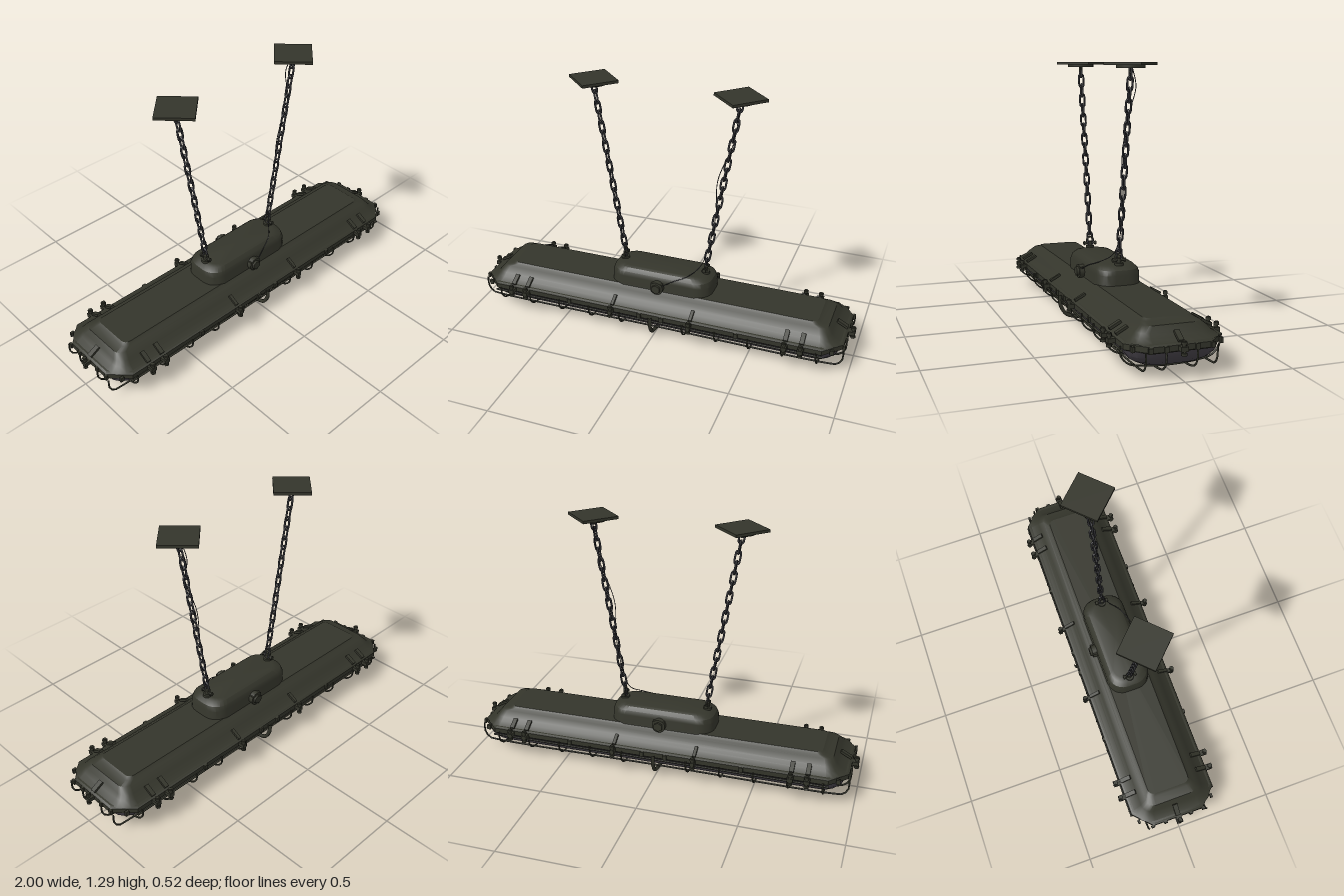
import * as THREE from 'three';
import { toCreasedNormals } from 'three/addons/utils/BufferGeometryUtils.js';

const material = (name, color) => Object.assign(new THREE.MeshStandardMaterial({ color }), { name });
const V = (x, y, z) => new THREE.Vector3(x, y, z);

// Closed solid through rounded rectangles [halfX, halfZ, cornerRadius, y], bottom to top
function loft(rings, seg) {
  const pos = [], idx = [], n = 4 * (seg + 1);
  for (const [hx, hz, r, y] of rings) {
    for (let q = 0; q < 4; q++) {
      const sx = q === 0 || q === 3 ? 1 : -1, sz = q < 2 ? 1 : -1;
      for (let s = 0; s <= seg; s++) {
        const a = (q + s / seg) * Math.PI / 2;
        pos.push(sx * (hx - r) + r * Math.cos(a), y, sz * (hz - r) + r * Math.sin(a));
      }
    }
  }
  for (let k = 0; k < rings.length - 1; k++) for (let i = 0; i < n; i++) {
    const a = k * n + i, b = k * n + (i + 1) % n;
    idx.push(a, a + n, b + n, a, b + n, b);
  }
  const bottom = pos.length / 3, top = bottom + 1, last = (rings.length - 1) * n;
  pos.push(0, rings[0][3], 0, 0, rings[rings.length - 1][3], 0);
  for (let i = 0; i < n; i++) {
    const j = (i + 1) % n;
    idx.push(bottom, i, j, top, last + j, last + i);
  }
  const g = new THREE.BufferGeometry();
  g.setAttribute('position', new THREE.Float32BufferAttribute(pos, 3));
  g.setIndex(idx);
  return toCreasedNormals(g, 0.5);
}

export function createModel() {
  const root = new THREE.Group();
  root.name = 'hangingLamp';
  const paint = material('darkOlivePaint', 0x34352b);
  const steel = material('darkSteel', 0x36363a);
  const glass = material('smokedGlass', 0x464249);

  const add = (name, geo, mat, x = 0, y = 0, z = 0, parent = root) => {
    const m = new THREE.Mesh(geo, mat);
    m.name = name;
    m.position.set(x, y, z);
    parent.add(m);
    return m;
  };
  const box = (name, w, h, d, x, y, z, parent, mat = paint) =>
    add(name, new THREE.BoxGeometry(w, h, d), mat, x, y, z, parent);
  const cyl = (name, r, h, x, y, z, parent, mat = paint, sides = 12) =>
    add(name, new THREE.CylinderGeometry(r, r, h, sides), mat, x, y, z, parent);
  const wire = (name, pts, r, mat = paint, seg = 40, closed = false, parent = root) =>
    add(name, new THREE.TubeGeometry(
      new THREE.CatmullRomCurve3(pts, closed, 'centripetal'), seg, r, 6, closed), mat, 0, 0, 0, parent);

  // Housing: chamfered rim and sloping hood
  add('rim', loft([[0.96, 0.22, 0.09, 0.12], [0.965, 0.225, 0.09, 0.125],
    [0.965, 0.225, 0.09, 0.15], [0.955, 0.215, 0.09, 0.157]], 1), paint);
  add('hood', loft([[0.95, 0.21, 0.09, 0.155], [0.915, 0.18, 0.06, 0.172],
    [0.9, 0.165, 0.05, 0.19], [0.88, 0.135, 0.04, 0.214],
    [0.84, 0.12, 0.03, 0.222], [0.825, 0.11, 0.03, 0.232]], 4), paint);

  // Glass bowl below the rim
  add('glassBowl', loft([[0.84, 0.09, 0.07, 0.038], [0.89, 0.145, 0.08, 0.047],
    [0.92, 0.18, 0.09, 0.068], [0.938, 0.2, 0.09, 0.095], [0.945, 0.207, 0.09, 0.122]], 4), glass);

  // Gear box on top, with a cable gland on either side
  add('gearBox', loft([[0.275, 0.118, 0.08, 0.215], [0.27, 0.112, 0.08, 0.235],
    [0.27, 0.112, 0.08, 0.28], [0.262, 0.105, 0.08, 0.303],
    [0.24, 0.088, 0.07, 0.32], [0.22, 0.07, 0.06, 0.325]], 6), paint);
  for (const s of [1, -1]) {
    cyl('cableGland', 0.034, 0.028, 0, 0.255, s * 0.122, root, paint, 16).rotation.x = Math.PI / 2;
    cyl('glandNut', 0.024, 0.02, 0, 0.255, s * 0.138, root, paint, 6).rotation.x = Math.PI / 2;
    box('glandFlange', 0.06, 0.02, 0.02, 0, 0.27, s * 0.126);
  }

  // Wire cage: cross ribs, lengthwise wires and the hoop that carries them
  const cage = new THREE.Group();
  cage.name = 'cage';
  root.add(cage);
  for (const s of [1, -1]) for (let i = 1; i <= 5; i++) {
    const x = s * i * 0.17;
    wire('cageRib', [V(x, 0.135, 0.228), V(x, 0.09, 0.225), V(x, 0.052, 0.19), V(x, 0.037, 0.12),
      V(x, 0.03, 0), V(x, 0.037, -0.12), V(x, 0.052, -0.19), V(x, 0.09, -0.225), V(x, 0.135, -0.228)],
    0.0045, paint, 40, false, cage);
  }
  for (const [z, y] of [[0.07, 0.033], [0.16, 0.043], [-0.07, 0.033], [-0.16, 0.043]])
    wire('cageLongWire', [V(-0.968, 0.135, z), V(-0.968, 0.085, z), V(-0.945, 0.05, z), V(-0.9, y, z),
      V(0, y, z), V(0.9, y, z), V(0.945, 0.05, z), V(0.968, 0.085, z), V(0.968, 0.135, z)],
    0.0045, paint, 80, false, cage);
  for (const s of [1, -1])
    wire('cageSideWire', [V(-0.88, 0.115, s * 0.226), V(0.88, 0.115, s * 0.226)], 0.005, paint, 1, false, cage);
  wire('centreHoop', [V(0, 0.14, 0.232), V(0, 0.09, 0.23), V(0, 0.04, 0.2), V(0, 0.024, 0.15), V(0, 0.01, 0),
    V(0, 0.024, -0.15), V(0, 0.04, -0.2), V(0, 0.09, -0.23), V(0, 0.14, -0.232)], 0.01, paint, 50, false, cage);

  // Clamps: strap over the rim, lug, and a vertical bolt with two nuts
  function clamp(x, z, angle, wide) {
    const g = new THREE.Group();
    g.name = 'rimClamp';
    g.position.set(x, 0, z);
    g.rotation.y = angle;
    root.add(g);
    box('clampStrap', wide, 0.012, 0.06, 0, 0.178, -0.03, g).rotation.x = 0.5;
    box('clampLug', wide * 1.3, 0.02, 0.045, 0, 0.138, 0.012, g);
    cyl('clampBolt', 0.008, 0.065, 0, 0.14, 0.024, g);
    cyl('clampNut', 0.013, 0.012, 0, 0.163, 0.024, g, paint, 6);
    cyl('clampNut', 0.013, 0.012, 0, 0.115, 0.024, g, paint, 6);
  }
  for (const s of [1, -1]) {
    for (const x of [0.21, 0.695, 0.775]) {
      clamp(x, s * 0.225, s > 0 ? 0 : Math.PI, x > 0.5 ? 0.022 : 0.016);
      clamp(-x, s * 0.225, s > 0 ? 0 : Math.PI, x > 0.5 ? 0.022 : 0.016);
    }
    clamp(s * 0.962, 0, s * Math.PI / 2, 0.025);
    // Small pins holding the cage along the rim
    for (const x of [-0.92, -0.45, -0.06, 0.06, 0.45, 0.92])
      box('rimPin', 0.02, 0.025, 0.012, x, 0.137, s * (Math.abs(x) > 0.9 ? 0.2 : 0.228));
    for (const z of [-0.14, -0.07, 0.07, 0.14])
      box('rimPin', 0.012, 0.025, 0.018, s * 0.968, 0.137, z);
  }

  // One chain link, lying along y
  const half = 0.022, r = 0.012, loop = [];
  for (let i = 0; i <= 6; i++) loop.push(V(r * Math.cos(i * Math.PI / 6), half + r * Math.sin(i * Math.PI / 6), 0));
  for (let i = 0; i <= 6; i++) loop.push(V(-r * Math.cos(i * Math.PI / 6), -half - r * Math.sin(i * Math.PI / 6), 0));
  const link = new THREE.TubeGeometry(new THREE.CatmullRomCurve3(loop, true), 32, 0.0052, 6, true);

  // Suspension: eye bolt, chain, ceiling plate
  for (const s of [1, -1]) {
    const low = V(s * 0.22, 0.372, 0), high = V(s * 0.367, 1.245, 0), count = 18;
    const dir = high.clone().sub(low).normalize();
    for (let i = 0; i < count; i++) {
      const m = add('chainLink', link, steel);
      m.position.lerpVectors(low, high, i / (count - 1));
      m.quaternion.setFromUnitVectors(V(0, 1, 0), dir);
      m.rotateY(i % 2 ? 0 : Math.PI / 2);
    }
    cyl('eyeBoltFoot', 0.022, 0.014, s * 0.22, 0.328, 0);
    cyl('eyeBoltPost', 0.011, 0.03, s * 0.22, 0.342, 0);
    cyl('shacklePin', 0.006, 0.07, s * 0.22, 0.347, 0).rotation.x = Math.PI / 2;
    for (const z of [-0.03, 0.03])
      cyl('shackleNut', 0.011, 0.008, s * 0.22, 0.347, z, root, paint, 6).rotation.x = Math.PI / 2;
    add('shackle', new THREE.TorusGeometry(0.018, 0.005, 6, 16), paint, s * 0.22, 0.362, 0).rotation.y = Math.PI / 2;
    box('ceilingPlate', 0.184, 0.014, 0.184, s * 0.367, 1.285, 0).rotation.y = Math.PI / 4;
    cyl('ceilingRose', 0.067, 0.014, s * 0.367, 1.272, 0, root, paint, 24);
    add('ceilingEye', new THREE.TorusGeometry(0.014, 0.005, 6, 16), paint, s * 0.367, 1.258, 0);
  }

  // Thin supply cable beside the left chain, down to the gear box
  wire('supplyCable', [V(0.365, 1.265, -0.01), V(0.352, 1.18, -0.032), V(0.34, 1.05, 0), V(0.27, 0.85, 0.004),
    V(0.262, 0.65, -0.004), V(0.225, 0.45, 0), V(0.2, 0.37, 0.025), V(0.15, 0.328, 0.08), V(0.08, 0.3, 0.112),
    V(0.02, 0.265, 0.13)], 0.002, steel, 60);

  return root;
}
